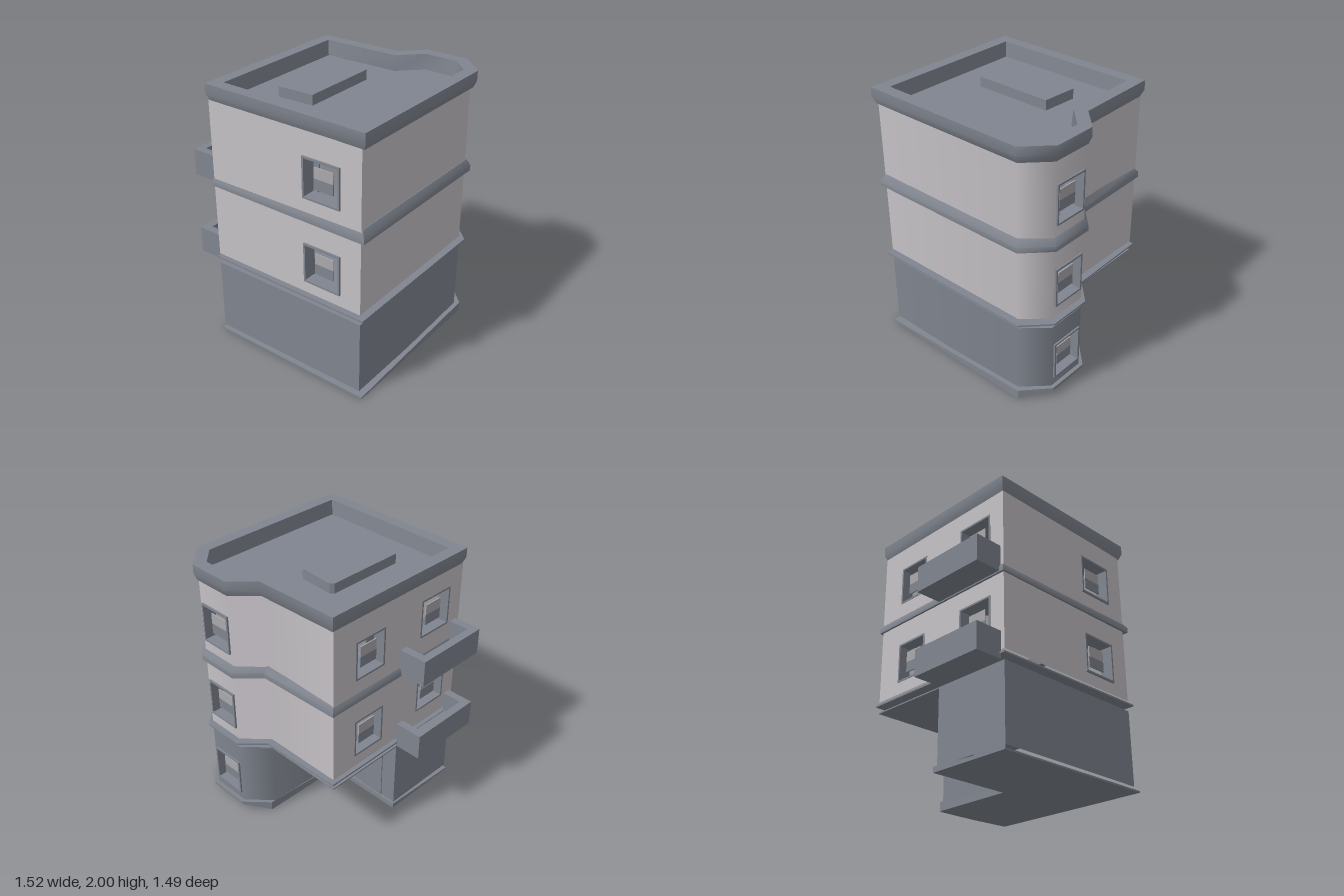
import * as THREE from 'three';
import { toCreasedNormals } from 'three/addons/utils/BufferGeometryUtils.js';

function paint(name, color) {
  const m = new THREE.MeshStandardMaterial({ color });
  m.name = name;
  return m;
}
const wallPaint = paint('warm grey wall', 0xc6c2c7);
const slate = paint('slate grey trim', 0x80858f);
const blind = paint('window blind grey', 0xaca9ad);

// Plans as [x, z], counterclockwise seen from above
const upperPlan = [[-0.545, 0.72], [0.725, 0.72], [0.725, -0.55], [0.57, -0.72],
  [0.26, -0.72], [0.09, -0.555], [-0.545, -0.555]];
const lowerPlan = [...upperPlan.slice(0, 6), [0.09, 0.1], [-0.545, 0.1]];
const trimPlan = [[-0.56, 0.73], [0.76, 0.74], [0.76, -0.575], [0.58, -0.75],
  [0.25, -0.75], [0.09, -0.59], [-0.56, -0.575]];
const basePlan = [...trimPlan.slice(0, 6), [0.08, 0.08], [-0.56, 0.08]];

function mesh(name, geometry, material, parent, x = 0, y = 0, z = 0) {
  const m = new THREE.Mesh(geometry, material);
  m.name = name;
  m.position.set(x, y, z);
  parent.add(m);
  return m;
}

function box(name, x0, x1, y0, y1, z0, z1, material, parent) {
  return mesh(name, new THREE.BoxGeometry(x1 - x0, y1 - y0, z1 - z0), material, parent,
    (x0 + x1) / 2, (y0 + y1) / 2, (z0 + z1) / 2);
}

function slab(name, plan, y0, y1, parent) {
  const shape = new THREE.Shape(plan.map(([x, z]) => new THREE.Vector2(x, -z)));
  const g = new THREE.ExtrudeGeometry(shape, { depth: y1 - y0, bevelEnabled: false });
  g.rotateX(-Math.PI / 2);
  return mesh(name, g, slate, parent, 0, y0, 0);
}

// Moves every plan edge inwards by d, with mitred corners
function inset(plan, d) {
  const n = plan.length;
  const inward = (s, e) => {
    const dx = e[0] - s[0], dz = e[1] - s[1], l = Math.hypot(dx, dz);
    return [dz / l, -dx / l];
  };
  return plan.map((p, i) => {
    const u = inward(plan[(i + n - 1) % n], p), v = inward(p, plan[(i + 1) % n]);
    const k = d / (1 + u[0] * v[0] + u[1] * v[1]);
    return [p[0] + (u[0] + v[0]) * k, p[1] + (u[1] + v[1]) * k];
  });
}

// Closed moulding: profile of [inset, height] swept round a plan
function moulding(name, plan, profile, parent) {
  const loops = profile.map(([d, y]) => inset(plan, d).map(([x, z]) => [x, y, z]));
  const pos = [], n = plan.length, m = profile.length;
  for (let j = 0; j < m; j++) {
    for (let i = 0; i < n; i++) {
      const lo = loops[j], hi = loops[(j + 1) % m], k = (i + 1) % n;
      pos.push(...lo[i], ...lo[k], ...hi[k], ...lo[i], ...hi[k], ...hi[i]);
    }
  }
  const g = new THREE.BufferGeometry();
  g.setAttribute('position', new THREE.Float32BufferAttribute(pos, 3));
  return mesh(name, toCreasedNormals(g, 0.85), slate, parent);
}

// Frame lining an opening, with a small two-tone pane hung in it
function addWindow(parent, { u, y, w, h, front }) {
  const g = new THREE.Group();
  g.name = 'window';
  g.position.set(u, y, 0);
  parent.add(g);
  const t = 0.014, X = w / 2, Y = h / 2, back = -0.09;
  box('frameSide', -X, -X + t, -Y, Y, back, front, slate, g);
  box('frameSide', X - t, X, -Y, Y, back, front, slate, g);
  box('frameSill', -X + t, X - t, -Y, -Y + t, back, front, slate, g);
  box('frameHead', -X + t, X - t, Y - t, Y, back, front, slate, g);
  box('upperPane', -0.077, 0.077, 0, 0.08, -0.028, -0.02, blind, g);
  box('lowerPane', -0.077, 0.077, -0.08, 0, -0.028, -0.02, slate, g);
}

// One wall panel per plan edge; openings[i] lists the windows of edge i
function addWalls(name, plan, y0, y1, material, openings, parent) {
  const group = new THREE.Group();
  group.name = name;
  parent.add(group);
  const n = plan.length;
  const turn = plan.map((a, i) => {
    const b = plan[(i + 1) % n];
    return Math.atan2(a[1] - b[1], b[0] - a[0]);
  });
  // Half the bend between two edges where it is gentle enough to look rounded
  const bend = (i, j) => {
    const d = turn[j] - turn[i], a = Math.atan2(Math.sin(d), Math.cos(d));
    return Math.abs(a) < 1 ? a / 2 : 0;
  };
  plan.forEach((a, i) => {
    const b = plan[(i + 1) % n], len = Math.hypot(b[0] - a[0], b[1] - a[1]);
    const side = new THREE.Group();
    side.name = 'wallSide';
    side.position.set(a[0], 0, a[1]);
    side.rotation.y = turn[i];
    group.add(side);
    const rect = (x0, x1, b0, b1) => [[x0, b0], [x1, b0], [x1, b1], [x0, b1]]
      .map(([x, y]) => new THREE.Vector2(x, y));
    const shape = new THREE.Shape(rect(0, len, y0, y1));
    for (const o of openings[i] || []) {
      shape.holes.push(new THREE.Path(
        rect(o.u - o.w / 2, o.u + o.w / 2, o.y - o.h / 2, o.y + o.h / 2)));
      addWindow(side, o);
    }
    const g = new THREE.ShapeGeometry(shape);
    const start = -bend((i + n - 1) % n, i), end = bend(i, (i + 1) % n);
    for (let v = 0; v < g.attributes.position.count; v++) {
      const angle = THREE.MathUtils.lerp(start, end, g.attributes.position.getX(v) / len);
      g.attributes.normal.setXYZ(v, Math.sin(angle), 0, Math.cos(angle));
    }
    mesh('wall', g, material, side);
  });
}

function addBalcony(parent, y) {
  const g = new THREE.Group();
  g.name = 'balcony';
  parent.add(g);
  const t = 0.06, top = y + 0.2;
  box('balconyFloor', -0.76, -0.545, y, y + 0.04, 0.095, 0.69, slate, g);
  box('balconyFront', -0.76, -0.76 + t, y + 0.04, top, 0.095, 0.69, slate, g);
  box('balconySide', -0.76 + t, -0.545, y + 0.04, top, 0.095, 0.095 + t, slate, g);
  box('balconySide', -0.76 + t, -0.545, y + 0.04, top, 0.69 - t, 0.69, slate, g);
}

export function createModel() {
  const model = new THREE.Group();
  model.name = 'apartmentBlock';
  const opening = (u, y, w, front = 0.013) => ({ u, y, w, h: 0.3, front });
  const floors = [0.92, 1.56];

  // Base plate, thickening to the back and lifted under the bay
  const base = slab('basePlate', basePlan, 0, 0.03, model);
  const p = base.geometry.attributes.position;
  for (let i = 0; i < p.count; i++) {
    const z = p.getZ(i);
    if (p.getY(i) > 0.01) p.setY(i, 0.012 + (0.74 - z) * 0.045);
    else if (z < -0.7) p.setY(i, 0.055);
  }
  base.geometry.computeVertexNormals();

  // Ground floor, with the back corner left open under the overhang
  addWalls('groundFloor', lowerPlan, 0.04, 0.6, slate, {
    3: [opening(0.155, 0.29, 0.27)],
  }, model);
  slab('overhangFloor', upperPlan, 0.59, 0.6, model);
  box('entranceDoor', -0.42, -0.22, 0.04, 0.44, 0.092, 0.1, slate, model);

  // Thin ledge whose underside sags to a point in the middle
  slab('ledge', trimPlan, 0.643, 0.656, model);
  const under = [];
  trimPlan.forEach((a, i) => {
    const b = trimPlan[(i + 1) % trimPlan.length];
    under.push(b[0], 0.643, b[1], a[0], 0.643, a[1], 0.08, 0.605, 0.02);
  });
  const sag = new THREE.BufferGeometry();
  sag.setAttribute('position', new THREE.Float32BufferAttribute(under, 3));
  sag.computeVertexNormals();
  mesh('ledgeUnderside', sag, slate, model);

  // Two upper floors
  addWalls('upperFloors', upperPlan, 0.68, 1.885, wallPaint, {
    0: floors.map((y) => opening(0.957, y, 0.3)),
    3: floors.map((y) => opening(0.155, y, 0.27)),
    6: floors.flatMap((y) => [opening(0.345, y, 0.28, 0.003),
      opening(1.0, y + 0.04, 0.3, 0.003)]),
  }, model);
  moulding('cornice', trimPlan,
    [[0, 1.24], [0, 1.28], [0.03, 1.325], [0.06, 1.325], [0.06, 1.24]], model);
  for (const y of [0.61, 1.25]) addBalcony(model, y);

  // Roof with parapet and hatch
  slab('roof', inset(trimPlan, 0.07), 1.87, 1.885, model);
  moulding('parapet', trimPlan,
    [[0, 1.93], [0, 2], [0.09, 2], [0.1, 1.885], [0.02, 1.88]], model);
  slab('roofHatch', [[-0.22, 0.38], [-0.195, 0.395], [0.075, 0.38], [0.075, -0.225],
    [-0.195, -0.24], [-0.22, -0.22]], 1.885, 1.96, model);

  return model;
}
